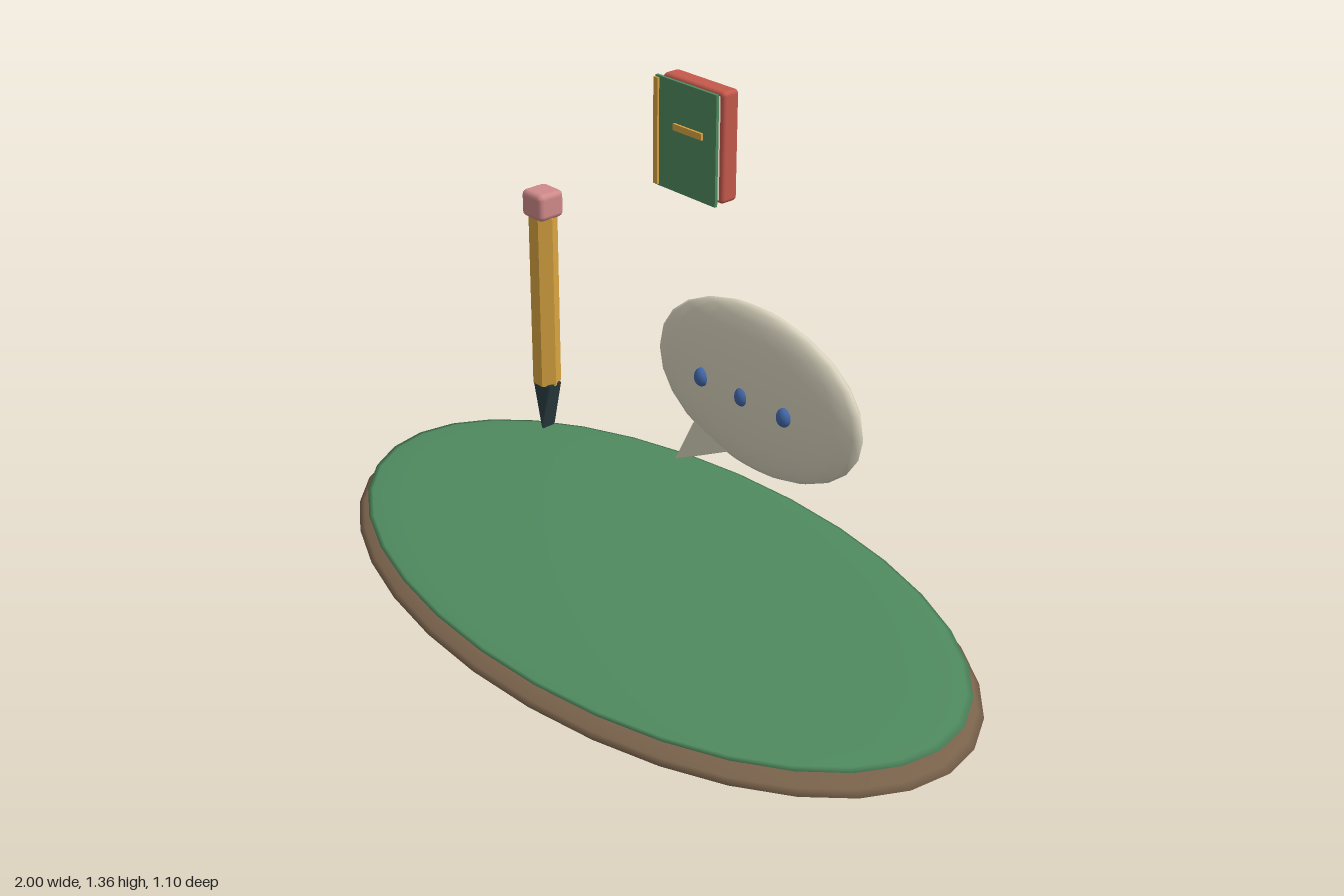
import * as THREE from 'three';
import { RoundedBoxGeometry } from 'three/addons/geometries/RoundedBoxGeometry.js';

const COLORS = {
  green: 0x4f8a5f, brown: 0x7a634c, cream: 0xd8d2bd, blue: 0x4468a8,
  gold: 0xd9a441, graphite: 0x2a3d42, pink: 0xd08a8a, red: 0xc4594c,
};

function add(parent, name, geometry, color, x, y, z, flat = false) {
  const material = new THREE.MeshStandardMaterial({ color: COLORS[color], flatShading: flat });
  const mesh = new THREE.Mesh(geometry, material);
  mesh.name = name;
  mesh.position.set(x, y, z);
  parent.add(mesh);
  return mesh;
}

function ellipsoid(rx, ry, rz, widthSegments, heightSegments) {
  return new THREE.SphereGeometry(1, widthSegments, heightSegments).scale(rx, ry, rz);
}

// Bevelled triangular prism, centred in depth
function wedge(points, depth, bevel) {
  const shape = new THREE.Shape(points.map(([x, y]) => new THREE.Vector2(x, y)));
  const geometry = new THREE.ExtrudeGeometry(shape, {
    depth: depth - 2 * bevel, bevelEnabled: true, bevelSize: bevel,
    bevelThickness: bevel, bevelOffset: -bevel, bevelSegments: 1,
  });
  return geometry.translate(0, 0, bevel - depth / 2);
}

function group(parent, name) {
  const g = new THREE.Group();
  g.name = name;
  parent.add(g);
  return g;
}

export function createModel() {
  const model = new THREE.Group();
  model.name = 'writingIsland';

  // Flat oval ground with a grass top
  const island = group(model, 'island');
  add(island, 'soil', ellipsoid(1, 0.058, 0.55, 32, 16), 'brown', 0, 0.058, 0);
  add(island, 'grass', ellipsoid(0.97, 0.017, 0.525, 32, 16), 'green', 0, 0.105, 0);

  // Upright pencil, point down
  const pencil = group(model, 'pencil');
  pencil.position.x = -0.38;
  const barrel = new THREE.CylinderGeometry(0.036, 0.036, 0.465, 6).rotateY(Math.PI / 6);
  add(pencil, 'barrel', barrel, 'gold', 0, 0.73, 0, true);
  add(pencil, 'eraser', new RoundedBoxGeometry(0.077, 0.07, 0.077, 2, 0.014), 'pink', 0, 0.99, 0);
  const point = wedge([[-0.034, 0.502], [0, 0.365], [0.034, 0.502]], 0.043, 0.004);
  add(pencil, 'point', point, 'graphite', 0, 0, 0, true);

  // Speech bubble with tail and three dots
  const bubble = group(model, 'speechBubble');
  add(bubble, 'bubbleBody', ellipsoid(0.322, 0.203, 0.051, 20, 12), 'cream', 0.373, 0.765, 0);
  const tail = wedge([[0.125, 0.488], [0.32, 0.592], [0.2, 0.638]], 0.043, 0.003);
  add(bubble, 'bubbleTail', tail, 'cream', 0, 0, 0, true);
  for (const x of [-0.131, 0, 0.131]) {
    add(bubble, 'dot', ellipsoid(0.019, 0.023, 0.018, 12, 8), 'blue', 0.373 + x, 0.763, 0.046);
  }

  // Floating book: thick back, pages, thin front cover with trim
  const book = group(model, 'book');
  book.position.set(0, 1.224, 0);
  add(book, 'backBlock', new RoundedBoxGeometry(0.206, 0.27, 0.05, 2, 0.01), 'red', 0, 0, -0.168);
  add(book, 'pages', new THREE.BoxGeometry(0.185, 0.25, 0.026), 'cream', 0, 0, -0.14);
  add(book, 'frontCover', new THREE.BoxGeometry(0.204, 0.27, 0.008), 'green', 0, 0, -0.125);
  add(book, 'spineStrip', new THREE.BoxGeometry(0.014, 0.262, 0.006), 'gold', -0.096, 0, -0.118);
  add(book, 'coverLabel', new THREE.BoxGeometry(0.096, 0.016, 0.006), 'gold', 0.012, 0.026, -0.118);

  return model;
}
